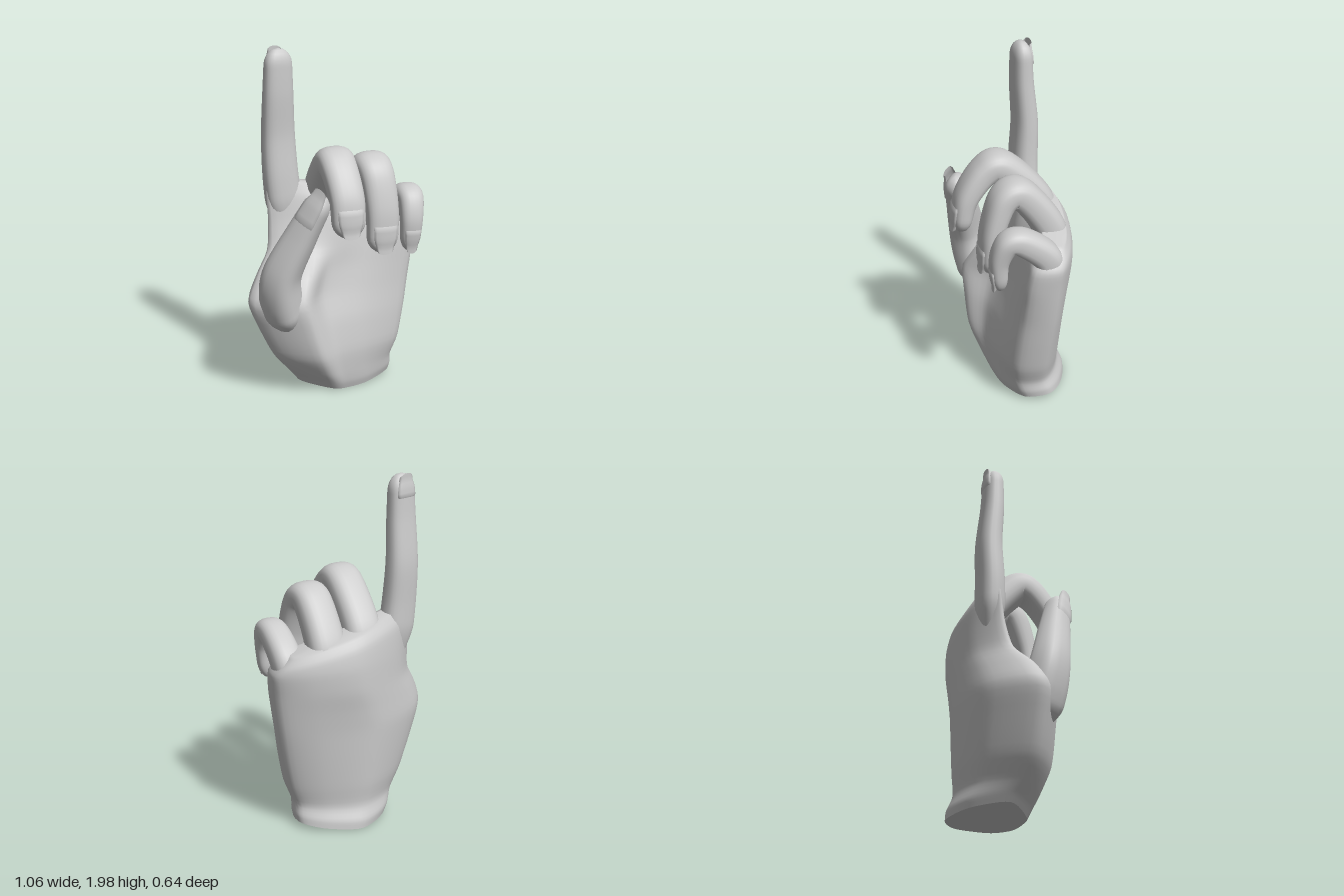
import * as THREE from 'three';

const V = (x, y, z) => new THREE.Vector3(x, y, z);
const { lerp, smoothstep } = THREE.MathUtils;
const skin = new THREE.MeshStandardMaterial({ color: 0xcccccc, side: THREE.DoubleSide });

// Smooth surface through a stack of rings; optional fans close the ends
function loft(name, rings, { closed = true, start = null, end = null } = {}) {
  const n = rings[0].length, points = rings.flat(), idx = [];
  const cols = closed ? n : n - 1, last = (rings.length - 1) * n;
  for (let i = 0; i < last; i += n) {
    for (let j = 0; j < cols; j++) {
      const a = i + j, b = i + (j + 1) % n;
      idx.push(a, b, a + n, b, b + n, a + n);
    }
  }
  if (end) {
    points.push(end);
    for (let j = 0; j < n; j++) idx.push(last + j, last + (j + 1) % n, points.length - 1);
  }
  if (start) {
    points.push(start);
    for (let j = 0; j < n; j++) idx.push((j + 1) % n, j, points.length - 1);
  }
  const geometry = new THREE.BufferGeometry().setFromPoints(points);
  geometry.setIndex(idx);
  geometry.computeVertexNormals();
  const mesh = new THREE.Mesh(geometry, skin);
  mesh.name = name;
  return mesh;
}

const centre = ring => ring.reduce((s, p) => s.add(p), V(0, 0, 0)).divideScalar(ring.length);

// One palm section, from the little-finger side round the back to the thumb ball and hollow
function section(y, left, right, back, heel, ball, hollow) {
  return [
    [0.92, lerp(back, heel, 0.96)],
    [1, lerp(back, heel, 0.6)],
    [0.84, lerp(back, heel, 0.27)],
    [0.54, back],
    [0.19, lerp(back, ball, 0.13)],
    [0, lerp(back, ball, 0.6)],
    [0.24, ball],
    [0.42, hollow],
    [0.64, lerp(hollow, heel, 0.15)],
  ].map(([u, z]) => {
    const x = lerp(left, right, u);
    // The wrist rim curves up at its ends; the knuckle line drops towards the little finger
    const bow = 0.45 * Math.max(0, 1 - y / 0.2) * (x - 0.08) ** 2;
    const tilt = 0.24 * smoothstep(y, 0.9, 1.19) * x;
    return V(x, y + bow - tilt, z);
  });
}

function palm() {
  const levels = [
    section(0.01, -0.21, 0.38, -0.31, 0.06, 0.08, 0.1),
    section(0.06, -0.245, 0.38, -0.31, 0.08, 0.1, 0.115),
    section(0.14, -0.3, 0.37, -0.285, 0.1, 0.13, 0.125),
    section(0.27, -0.39, 0.41, -0.3, 0.13, 0.165, 0.13),
    section(0.45, -0.475, 0.45, -0.312, 0.13, 0.165, 0.1),
    section(0.61, -0.53, 0.48, -0.32, 0.12, 0.155, 0.05),
    section(0.74, -0.46, 0.5, -0.32, 0.115, 0.09, 0.02),
    section(0.86, -0.36, 0.515, -0.32, 0.11, -0.02, 0),
    section(1.0, -0.335, 0.525, -0.315, 0.09, -0.08, -0.03),
    section(1.12, -0.335, 0.5, -0.298, 0.04, -0.12, -0.08),
    section(1.19, -0.3, 0.44, -0.26, -0.02, -0.15, -0.13),
  ];
  const columns = levels[0].map((_, c) =>
    new THREE.CatmullRomCurve3(levels.map(l => l[c]), false, 'catmullrom', 0.4));
  const rings = [];
  for (let i = 0; i <= 40; i++) {
    const loop = new THREE.CatmullRomCurve3(columns.map(c => c.getPoint(i / 40)), true, 'catmullrom', 0.42);
    rings.push(loop.getPoints(54).slice(0, 54));
  }
  const group = new THREE.Group();
  group.name = 'palm';
  group.add(loft('palmBody', rings, { end: centre(rings[40]).add(V(0, 0.02, 0)) }));

  // Flat cut of the wrist, separate so its rim stays sharp
  const rim = rings[0], middle = centre(rim);
  group.add(loft('wristCut', [rim.map(p => p.clone().lerp(middle, 0.5)), rim], { start: middle }));
  return group;
}

// Finger along a path; width and depth are [base, tip] half sizes, sideHint turns the nail
function finger(name, path, width, depth, sideHint, nailStart, nailOver) {
  const knots = path.map(p => V(...p));
  const line = new THREE.CatmullRomCurve3(knots, false, 'catmullrom', 0.45);
  const squared = v => Math.sign(v) * Math.abs(v) ** 0.78;
  // Share of the path taken by the rounded tip
  const cap = 0.085 / (knots.at(-1).distanceTo(knots.at(-2)) * (knots.length - 1));
  const point = (t, angle, sizeAt = t, extra = 0) => {
    const tangent = line.getTangent(t);
    const side = sideHint.clone().addScaledVector(tangent, -sideHint.dot(tangent)).normalize();
    const dorsal = tangent.clone().cross(side);
    const tip = Math.sqrt(1 - 0.8 * Math.max(0, 1 - (1 - sizeAt) / cap) ** 2);
    const scale = tip * lerp(0.55, 1, smoothstep(sizeAt, 0, 0.17));
    const taper = sizeAt ** 1.5;
    return line.getPoint(t)
      .addScaledVector(side, squared(Math.cos(angle)) * (lerp(...width, taper) * scale + extra))
      .addScaledVector(dorsal, squared(Math.sin(angle)) * (lerp(...depth, taper) * scale + extra));
  };
  const rings = Array.from({ length: 49 }, (_, i) =>
    Array.from({ length: 24 }, (_, j) => point(i / 48, j / 12 * Math.PI)));
  const along = line.getTangent(1);
  const group = new THREE.Group();
  group.name = name;
  group.add(loft(name + 'Body', rings, {
    start: line.getPoint(0),
    end: line.getPoint(1).addScaledVector(along, 0.008),
  }));

  // Nail: a thin raised plate with its border sunk into the finger and a rounded free tip
  const plate = Array.from({ length: 9 }, (_, i) => Array.from({ length: 11 }, (_, j) => {
    const u = i / 8, v = j / 10 - 0.5, t = lerp(nailStart, 1, u);
    const border = i === 0 || j === 0 || j === 10;
    const span = 0.56 * (1 - 0.35 * u ** 3);
    return point(t, Math.PI * (0.5 + span * v), Math.min(t, 1 - 0.45 * cap), border ? -0.006 : 0.005)
      .addScaledVector(along, u * (nailOver - 0.08 * v * v));
  }));
  group.add(loft(name + 'Nail', plate, { closed: false }));
  return group;
}

export function createModel() {
  const hand = new THREE.Group();
  hand.name = 'hand';
  hand.add(palm());

  hand.add(finger('indexFinger',
    [[-0.2, 0.92, -0.2], [-0.235, 1.25, -0.21], [-0.242, 1.5, -0.222], [-0.247, 1.75, -0.205], [-0.245, 1.98, -0.2]],
    [0.107, 0.076], [0.076, 0.049], V(1, 0, 0), 0.86, 0.012));

  hand.add(finger('middleFinger',
    [[0.03, 0.92, -0.16], [0.015, 1.14, -0.175], [-0.03, 1.37, 0.02], [-0.048, 1.355, 0.12], [-0.06, 1.21, 0.228], [-0.068, 1.02, 0.265]],
    [0.11, 0.092], [0.1, 0.052], V(1, 0, 0.2), 0.84, 0.012));

  hand.add(finger('ringFinger',
    [[0.24, 0.88, -0.12], [0.235, 1.09, -0.135], [0.2, 1.315, 0.02], [0.19, 1.295, 0.12], [0.188, 1.1, 0.19], [0.18, 0.875, 0.21]],
    [0.11, 0.088], [0.096, 0.05], V(1, 0, 0.15), 0.86, 0.012));

  hand.add(finger('littleFinger',
    [[0.4, 0.85, -0.03], [0.42, 1.02, -0.03], [0.395, 1.135, 0.1], [0.38, 1.14, 0.18], [0.36, 1.03, 0.225], [0.355, 0.855, 0.218]],
    [0.09, 0.054], [0.086, 0.04], V(1, 0, 0.2), 0.85, 0.012));

  hand.add(finger('thumb',
    [[-0.3, 0.42, 0], [-0.375, 0.63, 0.045], [-0.385, 0.8, 0.08], [-0.305, 1.02, 0.145], [-0.208, 1.26, 0.222]],
    [0.125, 0.07], [0.118, 0.056], V(-0.45, 0.3, -0.85).normalize(), 0.83, 0.045));

  return hand;
}
